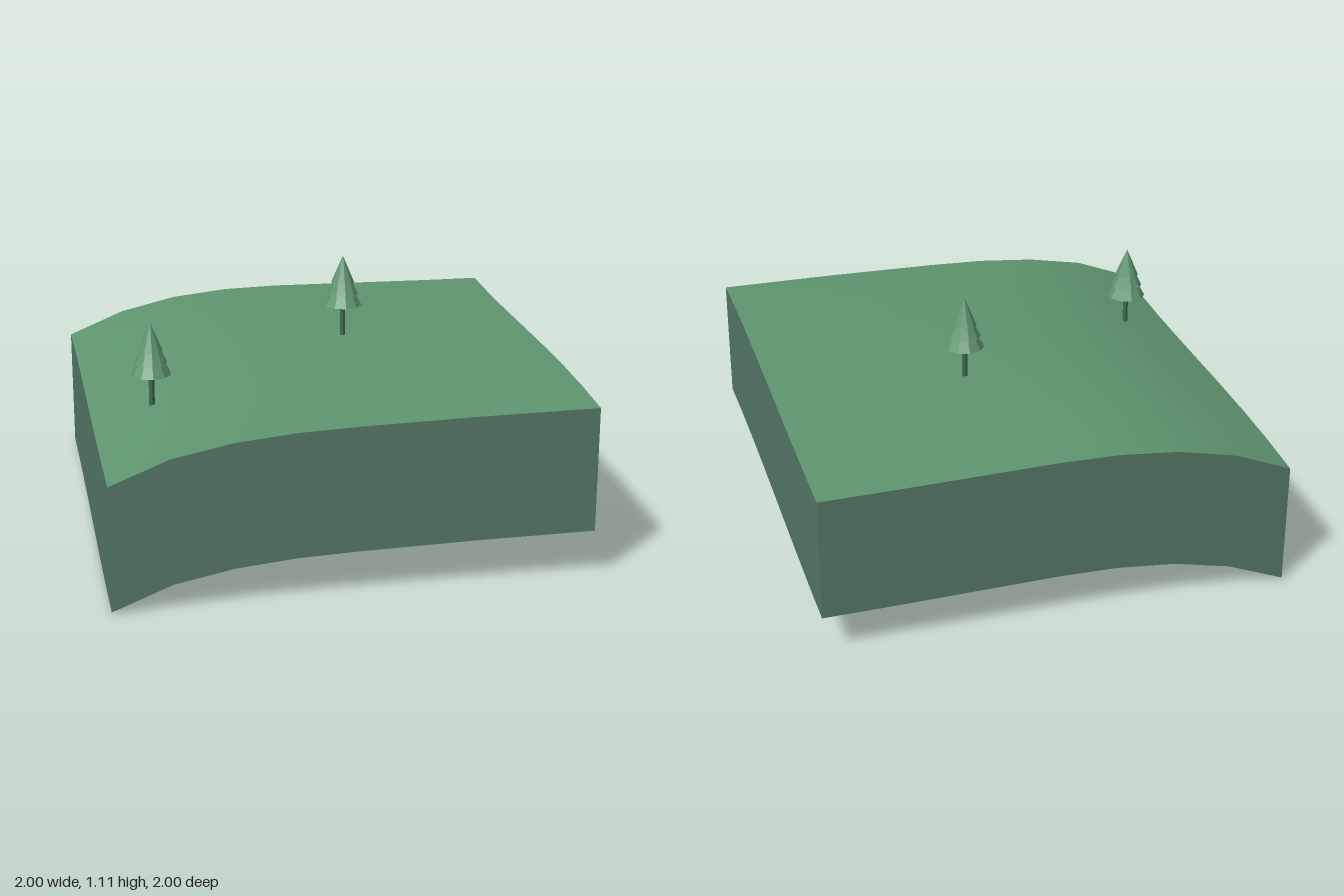
import * as THREE from 'three';

const grass = new THREE.MeshStandardMaterial({ name: 'grass green', color: 0x5f9670, side: THREE.DoubleSide });
const earth = new THREE.MeshStandardMaterial({ name: 'grey green', color: 0x577a68, side: THREE.DoubleSide });
const needles = new THREE.MeshStandardMaterial({ name: 'needle green', color: 0x5f9670, flatShading: true });
const bark = new THREE.MeshStandardMaterial({ name: 'dark green', color: 0x3d6b4c, flatShading: true });

const SEG = 8;
const DEPTH = 0.538;

// Ground heights from x = -1 to 1 along four lines of constant z
const rowZ = [1, 0.25, -0.5, -1];
const rows = [
  [0.545, 0.645, 0.695, 0.72, 0.73, 0.735, 0.74, 0.742, 0.744],
  [0.54, 0.64, 0.695, 0.72, 0.733, 0.742, 0.75, 0.753, 0.751],
  [0.556, 0.655, 0.71, 0.735, 0.738, 0.735, 0.732, 0.728, 0.726],
  [0.542, 0.645, 0.703, 0.729, 0.734, 0.73, 0.726, 0.722, 0.72],
];

// Linear along x, cubic across z
function groundHeight(x, z) {
  const t = (x + 1) * SEG / 2;
  const i = Math.min(SEG - 1, Math.floor(t));
  let sum = 0;
  rows.forEach((row, a) => {
    let weight = 1;
    rowZ.forEach((zb, b) => {
      if (b !== a) weight *= (z - zb) / (rowZ[a] - zb);
    });
    sum += weight * THREE.MathUtils.lerp(row[i], row[i + 1], t - i);
  });
  return sum;
}

function addMesh(parent, name, geometry, material) {
  const mesh = new THREE.Mesh(geometry, material);
  mesh.name = name;
  parent.add(mesh);
  return mesh;
}

// Rolling top surface
function groundGeometry() {
  const geometry = new THREE.PlaneGeometry(2, 2, SEG, SEG).rotateX(-Math.PI / 2);
  const p = geometry.attributes.position;
  for (let i = 0; i < p.count; i++) p.setY(i, groundHeight(p.getX(i), p.getZ(i)));
  geometry.computeVertexNormals();
  return geometry;
}

// Upright side strip that follows the ground edge, same depth all along
function wallGeometry(angle) {
  const geometry = new THREE.PlaneGeometry(2, 1, SEG, 1).translate(0, 0, 1).rotateY(angle);
  const p = geometry.attributes.position;
  for (let i = 0; i < p.count; i++) {
    const x = THREE.MathUtils.clamp(p.getX(i), -1, 1);
    const z = THREE.MathUtils.clamp(p.getZ(i), -1, 1);
    p.setY(i, groundHeight(x, z) - (p.getY(i) > 0 ? 0 : DEPTH));
  }
  return geometry;
}

// Conifer: thin trunk with three overlapping cones
function makeTree(name, x, z, tip) {
  const tree = new THREE.Group();
  tree.name = name;
  const base = groundHeight(x, z) - 0.01;
  const skirt = tip - 0.225;
  const trunkHeight = skirt + 0.02 - base;
  addMesh(tree, 'trunk', new THREE.CylinderGeometry(0.012, 0.012, trunkHeight, 8), bark)
    .position.y = base + trunkHeight / 2;
  const tiers = [[0.085, 0, 0.15], [0.07, 0.05, 0.14], [0.052, 0.102, 0.123]];
  for (const [radius, lift, height] of tiers) {
    addMesh(tree, 'foliage', new THREE.ConeGeometry(radius, height, 10), needles)
      .position.y = skirt + lift + height / 2;
  }
  tree.position.set(x, 0, z);
  return tree;
}

export function createModel() {
  const model = new THREE.Group();
  model.name = 'terrainTile';
  addMesh(model, 'ground', groundGeometry(), grass);
  ['frontWall', 'leftWall', 'backWall', 'rightWall'].forEach((name, i) => {
    addMesh(model, name, wallGeometry(i * Math.PI / 2), earth);
  });
  model.add(makeTree('rightTree', -0.75, 0.333, 1.0));
  model.add(makeTree('middleTree', 0.167, -0.167, 1.105));
  return model;
}
